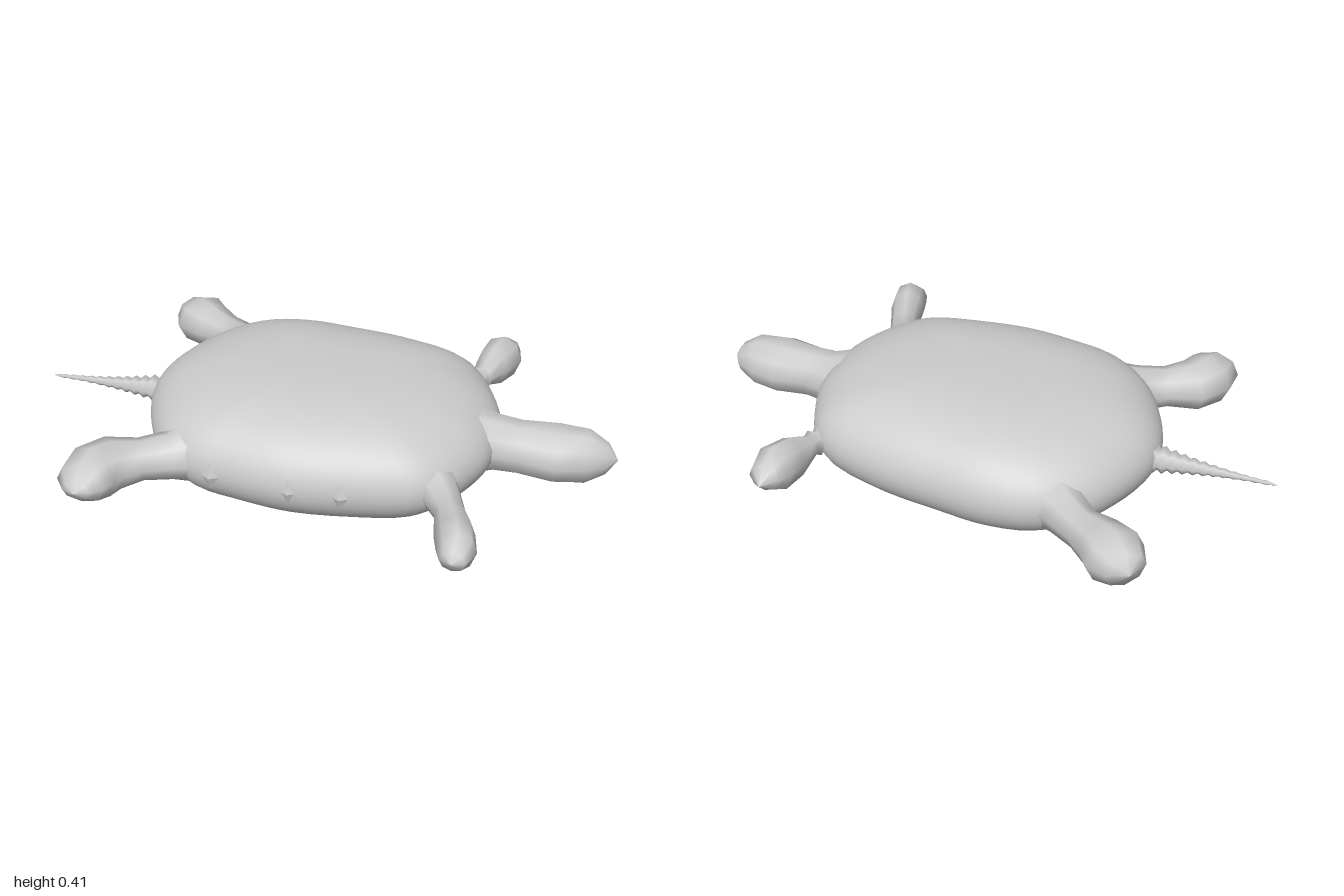
import * as THREE from 'three';

const MID = 0.208; // height of the middle plane

// Skin a list of closed rings, each with the same number of points
function loft(rings) {
  const n = rings[0].length;
  const index = [];
  for (let i = 0; i < rings.length - 1; i++) {
    for (let j = 0; j < n; j++) {
      const a = i * n + j, b = i * n + (j + 1) % n;
      index.push(a, b, a + n, b, b + n, a + n);
    }
  }
  const geometry = new THREE.BufferGeometry().setFromPoints(rings.flat());
  geometry.setIndex(index);
  geometry.computeVertexNormals();
  return geometry;
}

// Pillow shape swelling from an outline [x, z]
function pillow(outline, half) {
  const curve = new THREE.CatmullRomCurve3(outline.map(([x, z]) => new THREE.Vector3(x, 0, z)), true);
  const edge = curve.getPoints(72).slice(0, -1);
  const rings = [];
  for (let i = 0; i <= 28; i++) {
    const phi = Math.PI * i / 28;
    const s = Math.pow(Math.max(Math.sin(phi), 1e-5), 2 / 3);
    rings.push(edge.map(p => new THREE.Vector3(p.x * s, MID + half * Math.cos(phi), p.z * s)));
  }
  return loft(rings);
}

// Tapering limb along stations [x, z, half width, half height]
function limb(stations, sides = 8) {
  const last = stations.length - 1;
  const rings = stations.map(([x, z, w, h], i) => {
    const p = stations[Math.max(i - 1, 0)], q = stations[Math.min(i + 1, last)];
    const t = new THREE.Vector2(q[0] - p[0], q[1] - p[1]).normalize();
    return Array.from({ length: sides }, (_, k) => {
      const a = k / sides * Math.PI * 2, c = Math.cos(a) * w;
      return new THREE.Vector3(x + t.y * c, MID + Math.sin(a) * h, z - t.x * c);
    });
  });
  return loft(rings);
}

export function createModel() {
  const group = new THREE.Group();
  const skin = new THREE.MeshStandardMaterial({ color: 0xcccccc });
  skin.name = 'grey skin';
  const add = (name, geometry) => {
    const mesh = new THREE.Mesh(geometry, skin);
    mesh.name = name;
    group.add(mesh);
    return mesh;
  };

  // Rounded shell
  add('shell', pillow([
    [-0.35, -0.42], [-0.18, -0.46], [0, -0.455], [0.25, -0.435], [0.46, -0.37], [0.56, -0.22],
    [0.6, -0.1], [0.6, 0.08], [0.56, 0.19], [0.5, 0.29], [0.42, 0.36], [0.25, 0.41],
    [0, 0.45], [-0.21, 0.435], [-0.35, 0.41], [-0.475, 0.32], [-0.555, 0.19], [-0.6, 0.06],
    [-0.6, -0.05], [-0.545, -0.21], [-0.475, -0.32],
  ], 0.206));

  // Head and neck
  add('head', limb([
    [0.42, -0.01, 0.2, 0.15], [0.52, -0.015, 0.14, 0.122], [0.6, -0.015, 0.092, 0.1],
    [0.68, -0.012, 0.086, 0.095], [0.8, -0.015, 0.106, 0.1], [0.9, -0.022, 0.085, 0.096],
    [0.965, -0.027, 0.052, 0.055], [1, -0.027, 0, 0],
  ], 10));

  // Four flippers
  add('frontLeftFlipper', limb([
    [0.42, 0.24, 0.1, 0.1], [0.48, 0.31, 0.065, 0.065], [0.53, 0.4, 0.05, 0.05], [0.565, 0.5, 0.064, 0.08],
    [0.585, 0.57, 0.062, 0.075], [0.583, 0.62, 0.042, 0.035], [0.582, 0.635, 0, 0],
  ]));
  add('frontRightFlipper', limb([
    [0.44, -0.3, 0.06, 0.06], [0.462, -0.345, 0.052, 0.05], [0.467, -0.36, 0.034, 0.032],
    [0.472, -0.378, 0.046, 0.048], [0.478, -0.395, 0.038, 0.036], [0.5, -0.47, 0.06, 0.078],
    [0.525, -0.55, 0.072, 0.085], [0.53, -0.605, 0.052, 0.05], [0.52, -0.65, 0, 0],
  ]));
  add('backRightFlipper', limb([
    [-0.33, -0.29, 0.13, 0.12], [-0.42, -0.365, 0.078, 0.082], [-0.5, -0.42, 0.066, 0.07],
    [-0.57, -0.455, 0.085, 0.085], [-0.63, -0.495, 0.105, 0.09], [-0.68, -0.54, 0.07, 0.06], [-0.7, -0.56, 0, 0],
  ]));
  add('backLeftFlipper', limb([
    [-0.32, 0.29, 0.13, 0.12], [-0.42, 0.365, 0.08, 0.082], [-0.5, 0.41, 0.074, 0.07],
    [-0.58, 0.455, 0.097, 0.085], [-0.62, 0.52, 0.1, 0.092], [-0.632, 0.59, 0.085, 0.07],
    [-0.63, 0.63, 0.045, 0.03], [-0.63, 0.645, 0, 0],
  ]));

  // Ribbed tail, thin towards the tip
  const tail = [[-0.54, 0, 0.09, 0.09]];
  for (let i = 0; i < 24; i++) {
    const u = i / 24, r = 0.007 + 0.047 * Math.pow(1 - u, 1.8);
    const rib = i % 2 ? 0.68 : 1;
    tail.push([-0.59 - 0.4 * u, 0.005 + 0.025 * u, r * (0.5 + rib * 0.5), r * rib]);
  }
  tail.push([-1, 0.03, 0, 0]);
  add('tail', limb(tail, 6));

  // Small barbs along the flank
  for (const [x, z] of [[-0.25, 0.435], [0.015, 0.443], [0.18, 0.423]]) {
    const barb = add('flankBarb', new THREE.OctahedronGeometry(1).scale(0.028, 0.05, 0.016));
    barb.position.set(x, MID, z);
  }
  return group;
}
